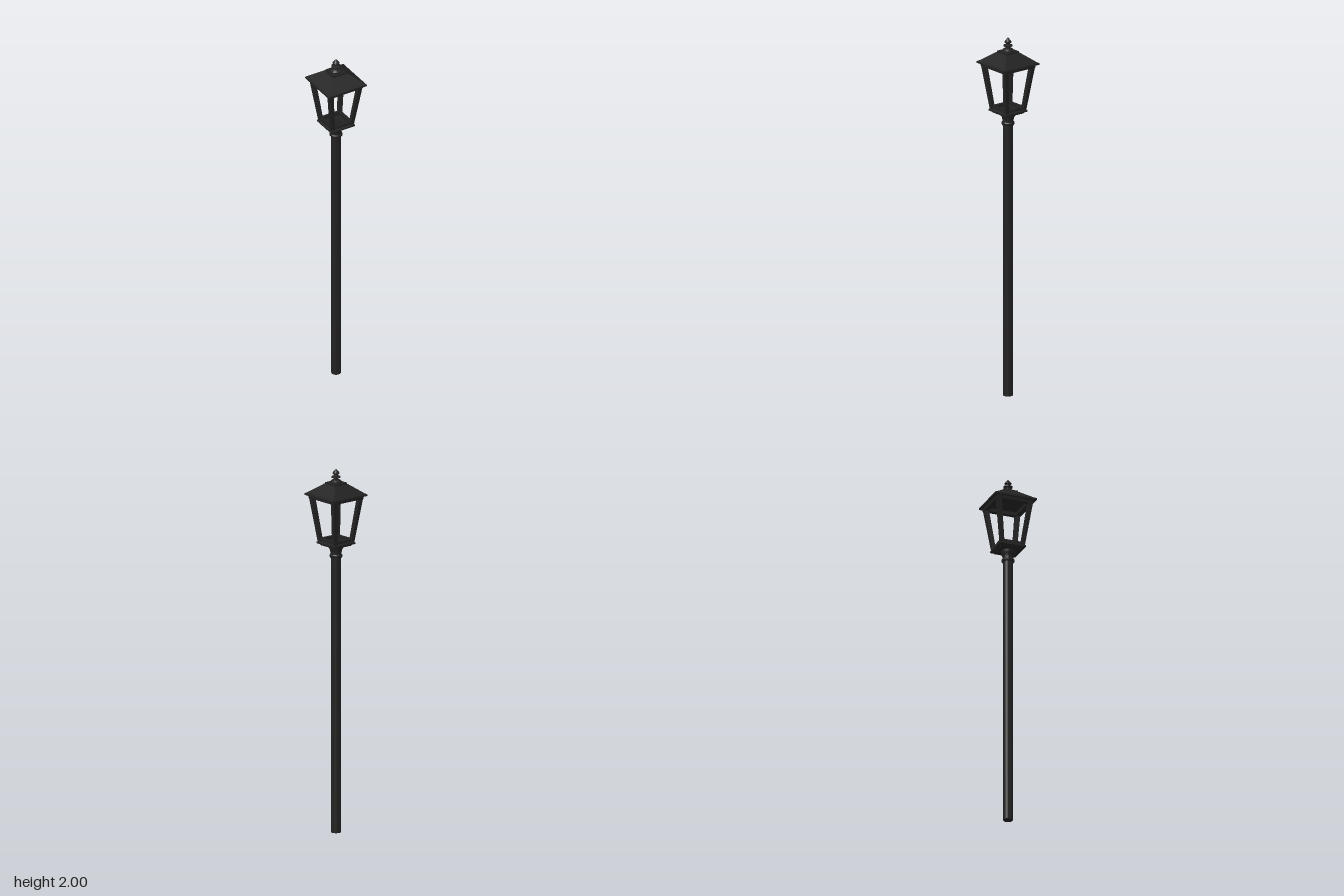
import * as THREE from 'three';
import { toCreasedNormals } from 'three/addons/utils/BufferGeometryUtils.js';

const iron = new THREE.MeshStandardMaterial({ color: 0x222222 });

function add(parent, name, geometry) {
  const mesh = new THREE.Mesh(geometry, iron);
  mesh.name = name;
  parent.add(mesh);
  return mesh;
}

const points = (profile) => profile.map(([r, y]) => new THREE.Vector2(r, y));

// Round turned part; profile is [radius, y] from bottom to top
const turned = (profile, sides = 32) =>
  toCreasedNormals(new THREE.LatheGeometry(points(profile), sides), 0.6);

// Square part with flat sides; profile is [half width, y]
function squared(profile) {
  const scaled = profile.map(([h, y]) => [h * Math.SQRT2, y]);
  return toCreasedNormals(new THREE.LatheGeometry(points(scaled), 4, Math.PI / 4), 0.1);
}

// Leaning square bar; top and bottom sections are shifted along the diagonal
function leaningBar(y0, y1, c0, c1, w0, w1) {
  const geometry = new THREE.BoxGeometry(1, 1, 1);
  const p = geometry.attributes.position;
  for (let i = 0; i < p.count; i++) {
    const t = p.getY(i) + 0.5;
    const c = c0 + (c1 - c0) * t;
    const w = w0 + (w1 - w0) * t;
    p.setXYZ(i, c + p.getX(i) * w, y0 + (y1 - y0) * t, c + p.getZ(i) * w);
  }
  geometry.computeVertexNormals();
  return geometry;
}

export function createModel() {
  const model = new THREE.Group();
  model.name = 'streetLamp';

  // Pole and the flared collar that carries the lantern
  add(model, 'pole', turned([[0, 0], [0.026, 0], [0.026, 1.53], [0, 1.53]]));
  add(model, 'collar', turned([
    [0, 1.513], [0.031, 1.513], [0.034, 1.518], [0.034, 1.527], [0.03, 1.532],
    [0.03, 1.543], [0.033, 1.555], [0.037, 1.562], [0.037, 1.585], [0, 1.585],
  ]));

  const lantern = new THREE.Group();
  lantern.name = 'lantern';
  model.add(lantern);

  // Stepped square base with a raised rim around the floor
  add(lantern, 'lanternBase', squared([
    [0, 1.578], [0.058, 1.578], [0.064, 1.588], [0.073, 1.588], [0.073, 1.597],
    [0.066, 1.602], [0.066, 1.617], [0.05, 1.617], [0.05, 1.6], [0, 1.6],
  ]));
  add(lantern, 'lampSocket', turned([
    [0.03, 1.599], [0.03, 1.606], [0.02, 1.606], [0.02, 1.612], [0, 1.612],
  ]));

  // Four corner posts leaning outward
  for (let i = 0; i < 4; i++) {
    const post = add(lantern, 'cornerPost', leaningBar(1.6, 1.848, 0.059, 0.091, 0.021, 0.025));
    post.rotation.y = i * Math.PI / 2;
  }

  // Square frame under the eaves
  add(lantern, 'topFrame', squared([
    [0.078, 1.855], [0.078, 1.836], [0.103, 1.836], [0.106, 1.856],
  ]));

  // Hollow hipped roof: inner slope, eave edge, outer slope, square cap
  add(lantern, 'roof', squared([
    [0, 1.908], [0.036, 1.908], [0.104, 1.853], [0.119, 1.853], [0.119, 1.862],
    [0.108, 1.868], [0.045, 1.917], [0.041, 1.917], [0.041, 1.925], [0, 1.925],
  ]));

  // Turned finial
  add(lantern, 'finial', turned([
    [0.031, 1.924], [0.031, 1.931], [0.024, 1.938], [0.014, 1.942], [0.014, 1.949],
    [0.025, 1.953], [0.025, 1.958], [0.012, 1.963], [0.011, 1.968],
    [0.018, 1.974], [0.018, 1.979], [0.009, 1.99], [0, 2],
  ], 24));

  return model;
}
